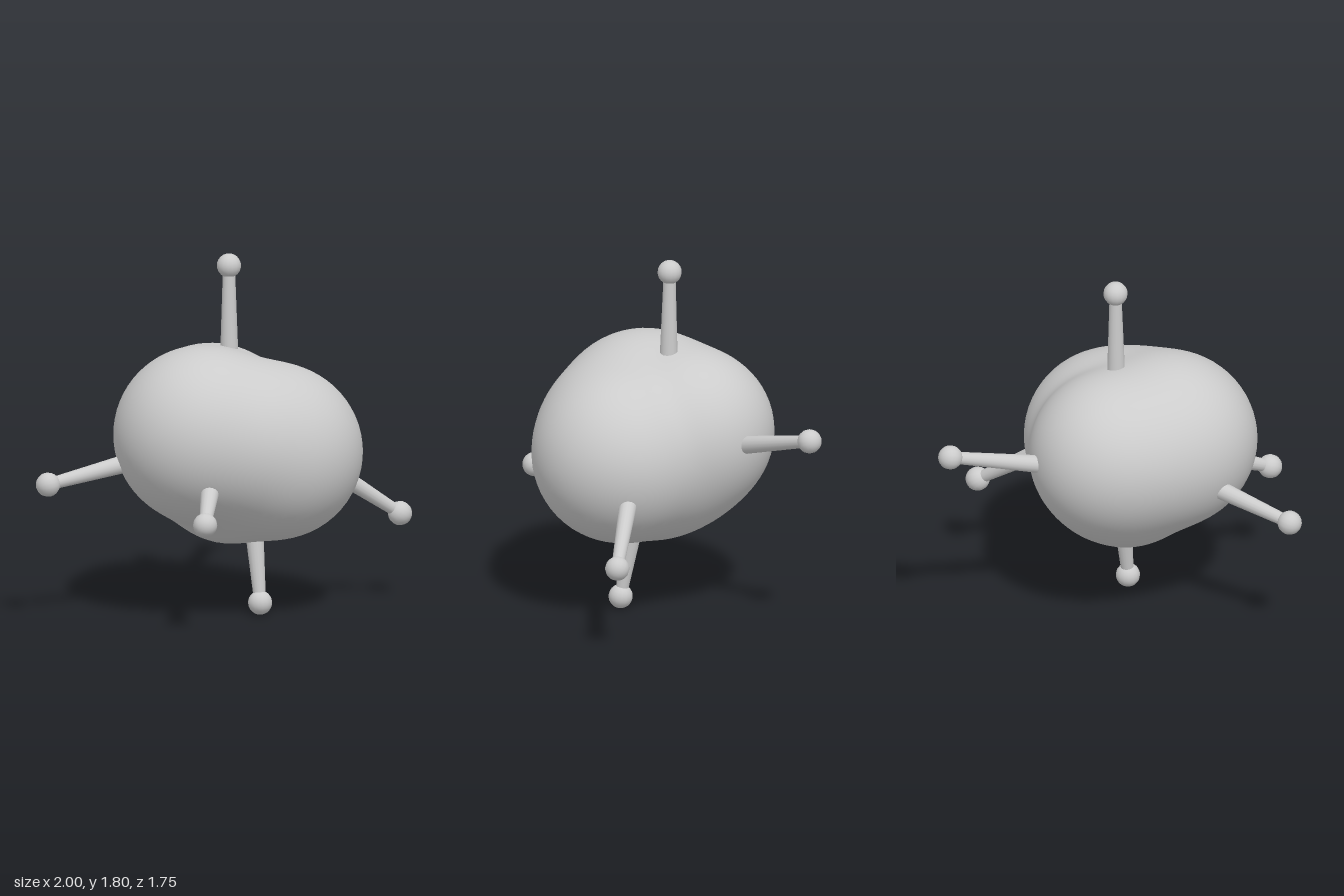
import * as THREE from 'three';
import { mergeVertices } from 'three/addons/utils/BufferGeometryUtils.js';

const V = (x, y, z) => new THREE.Vector3(x, y, z);

// Overlapping lobes of the body: centre and radius
const lobes = [
  [V(0.225, 0.82, 0.225), 0.44], // left
  [V(-0.15, 0.92, 0.2), 0.44], // right
  [V(0, 0.91, -0.09), 0.41], // back
  [V(0.02, 0.67, 0.1), 0.315], // bottom
  [V(0.06, 0.88, 0.275), 0.4], // front, bridging left and right
  [V(-0.11, 0.91, 0.04), 0.39], // bridging right and back
  [V(0.03, 0.78, 0.0), 0.37], // bridging back and bottom
];

// Stalks: foot inside the body and centre of the ball at the tip
const stalks = {
  topStalk: [V(0.05, 1.28, 0.02), V(0.05, 1.74, 0.015)],
  rightStalk: [V(-0.52, 0.78, 0.105), V(-0.94, 0.7, 0.135)],
  leftStalk: [V(0.56, 0.69, 0.095), V(0.935, 0.44, 0.06)],
  bottomStalk: [V(0.13, 0.4, 0.185), V(0.14, 0.06, 0.245)],
  frontStalk: [V(-0.225, 0.69, 0.56), V(-0.33, 0.575, 0.81)],
  backStalk: [V(0.2, 0.91, -0.4), V(0.47, 1.035, -0.815)],
};

// Signed distance to the softly blended lobes
function blobDistance(p) {
  const k = 0.035;
  let sum = 0;
  for (const [c, r] of lobes) sum += Math.exp((r - p.distanceTo(c)) / k);
  return -k * Math.log(sum);
}

// Push each vertex of a sphere out to the blended surface
function makeBody() {
  const centre = V(0.03, 0.87, 0.1);
  let geo = new THREE.IcosahedronGeometry(1, 14);
  geo.deleteAttribute('uv');
  geo.deleteAttribute('normal');
  geo = mergeVertices(geo, 1e-4);
  const pos = geo.attributes.position;
  const dir = V(0, 0, 0), p = V(0, 0, 0);
  for (let i = 0; i < pos.count; i++) {
    dir.fromBufferAttribute(pos, i).normalize();
    let near = 0, far = 1.2;
    for (let n = 0; n < 24; n++) {
      const mid = (near + far) / 2;
      p.copy(centre).addScaledVector(dir, mid);
      if (blobDistance(p) < 0) near = mid;
      else far = mid;
    }
    pos.setXYZ(i, p.x, p.y, p.z);
  }
  geo.computeVertexNormals();
  return geo;
}

export function createModel() {
  const model = new THREE.Group();
  const material = new THREE.MeshStandardMaterial({ color: 0xcccccc });

  const body = new THREE.Mesh(makeBody(), material);
  body.name = 'body';
  model.add(body);

  // Tapered stalks with ball tips
  const ballGeo = new THREE.SphereGeometry(0.061, 16, 12);
  for (const [name, [foot, tip]] of Object.entries(stalks)) {
    const group = new THREE.Group();
    group.name = name;
    const axis = tip.clone().sub(foot);
    const length = axis.length();
    group.position.copy(foot);
    group.quaternion.setFromUnitVectors(V(0, 1, 0), axis.normalize());

    const shaft = new THREE.Mesh(new THREE.CylinderGeometry(0.03, 0.046, length, 16), material);
    shaft.name = 'shaft';
    shaft.position.y = length / 2;
    const ball = new THREE.Mesh(ballGeo, material);
    ball.name = 'ballTip';
    ball.position.y = length;
    group.add(shaft, ball);
    model.add(group);
  }
  return model;
}
